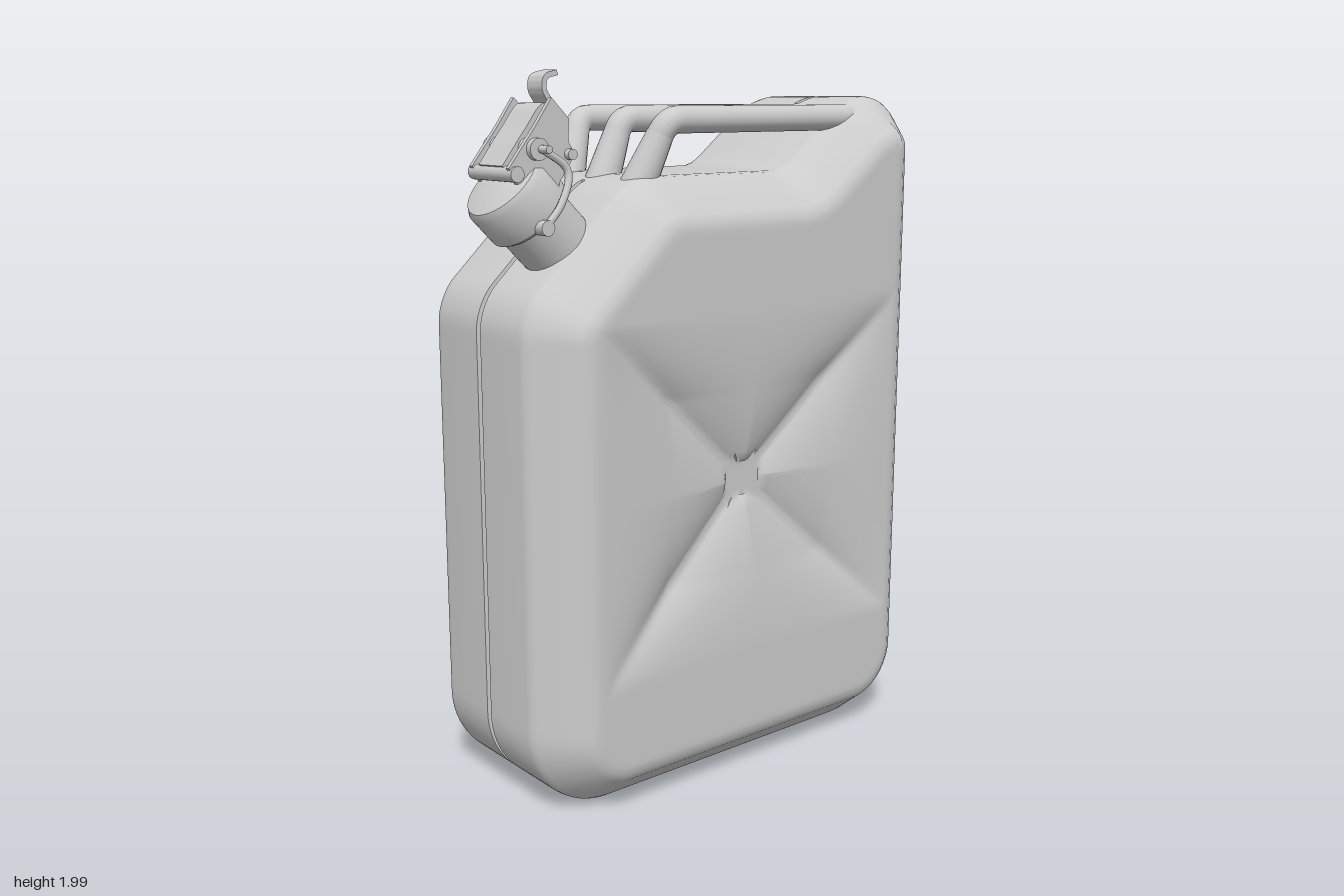
import * as THREE from 'three';
import { toCreasedNormals } from 'three/addons/utils/BufferGeometryUtils.js';

const steel = new THREE.MeshStandardMaterial({ color: 0xcccccc });
steel.name = 'grey steel';

const V = (x, y, z = 0) => new THREE.Vector3(x, y, z);

function add(parent, name, geometry) {
  const mesh = new THREE.Mesh(geometry, steel);
  mesh.name = name;
  parent.add(mesh);
  return mesh;
}

// Closed outline from corners [x, y, tangent length], counter-clockwise
function roundedOutline(corners, count) {
  const shape = new THREE.Shape();
  const P = corners.map(([x, y]) => new THREE.Vector2(x, y));
  const n = P.length;
  P.forEach((p, i) => {
    const l = corners[i][2];
    const toPrev = P[(i + n - 1) % n].clone().sub(p).normalize();
    const toNext = P[(i + 1) % n].clone().sub(p).normalize();
    const at = (dir, d) => p.clone().addScaledVector(dir, d);
    const a = at(toPrev, l), b = at(toNext, l);
    const c1 = at(toPrev, l * 0.45), c2 = at(toNext, l * 0.45);
    if (i === 0) shape.moveTo(a.x, a.y); else shape.lineTo(a.x, a.y);
    shape.bezierCurveTo(c1.x, c1.y, c2.x, c2.y, b.x, b.y);
  });
  shape.closePath();
  return shape.getSpacedPoints(count).slice(0, count);
}

// Pressed cross: four swelling panels that curve down into diagonal channels
function pressDepth(x, y) {
  const a = Math.abs(x - 0.04) / 0.535, b = Math.abs(y - 0.87) / 0.485;
  const m = Math.max(a, b);
  const t = Math.max(0, 1 - Math.max(m, 0.13));
  const fromChannel = m < 0.13 ? 0 : Math.max(0, Math.abs(a - b) * 0.36 - 0.012);
  const channel = Math.exp(-fromChannel / 0.085) * Math.min(1, t * 2.2);
  return 0.04 * t ** 1.5 + 0.04 * channel;
}

function bodyGeometry() {
  const N = 280, RINGS = 44, cx = 0.04, cy = 0.87;
  const outline = roundedOutline([
    [-0.657, 0.004, 0.25], [0.717, 0.004, 0.25], [0.717, 1.932, 0.15], [0.5, 1.932, 0.08],
    [0.24, 1.727, 0.04], [-0.31, 1.727, 0.07], [-0.657, 1.4, 0.07],
  ], N);
  const normals = outline.map((_, i) => {
    const d = outline[(i + 1) % N].clone().sub(outline[(i + N - 1) % N]).normalize();
    return new THREE.Vector2(d.y, -d.x);
  });
  // Edge profile as [inset, z]; negative insets stand for the seam groove
  const profile = [[0.14, 0.34], [0.118, 0.337], [0.095, 0.322], [0.012, 0.222], [0.003, 0.208],
    [0, 0.19], [0, 0.009], [-0.02, 0.007]];
  const inset = (i, d) => {
    const p = outline[i];
    const underHandle = p.y > 1.6 && p.x > -0.31 && p.x < 0.49;
    const depth = d < 0 ? (underHandle ? 0 : -d) : d;
    return p.clone().addScaledVector(normals[i], -depth);
  };
  const loops = [];
  for (let r = 0; r < RINGS; r++) {
    loops.push(outline.map((_, i) => {
      const e = inset(i, 0.14), s = r / RINGS;
      const x = cx + (e.x - cx) * s, y = cy + (e.y - cy) * s;
      return [x, y, 0.34 - pressDepth(x, y)];
    }));
  }
  for (const [d, z] of profile) {
    loops.push(outline.map((_, i) => {
      const p = inset(i, d);
      return [p.x, p.y, z];
    }));
  }
  // The back half mirrors the front half
  const all = loops.concat(loops.slice().reverse().map(l => l.map(([x, y, z]) => [x, y, -z])));
  const index = [];
  for (let j = 0; j < all.length - 1; j++) {
    for (let i = 0; i < N; i++) {
      const k = (i + 1) % N;
      const a = j * N + i, b = j * N + k, c = a + N, d = b + N;
      if (j < all.length - 2) index.push(a, c, d);
      if (j > 0) index.push(a, d, b);
    }
  }
  const g = new THREE.BufferGeometry();
  g.setAttribute('position', new THREE.Float32BufferAttribute(all.flat(2), 3));
  g.setIndex(index);
  return toCreasedNormals(g, 0.6);
}

// Flat plate cut in the xy plane, centred on z
function plate(points, thickness, z) {
  const shape = new THREE.Shape(points.map(([x, y]) => new THREE.Vector2(x, y)));
  const g = new THREE.ExtrudeGeometry(shape, { depth: thickness, bevelEnabled: false });
  return g.translate(0, 0, z - thickness / 2);
}

// Bent strip following a curve in the xy plane
function strip(points, thickness, width, z) {
  const curve = new THREE.CatmullRomCurve3(points.map(([x, y]) => V(x, y)));
  const left = [], right = [];
  for (let i = 0; i <= 24; i++) {
    const p = curve.getPoint(i / 24), t = curve.getTangent(i / 24);
    left.push([p.x - t.y * thickness / 2, p.y + t.x * thickness / 2]);
    right.unshift([p.x + t.y * thickness / 2, p.y - t.x * thickness / 2]);
  }
  return toCreasedNormals(plate(left.concat(right), width, z), 0.6);
}

export function createModel() {
  const model = new THREE.Group();
  model.name = 'fuelCan';
  add(model, 'body', bodyGeometry());

  // Three parallel carrying handles; the outer legs lean inward
  const handles = new THREE.Group();
  handles.name = 'handles';
  model.add(handles);
  for (const z of [-0.203, 0, 0.203]) {
    const path = new THREE.CurvePath();
    const a = V(-0.253, 1.69, z * 0.78), b = V(-0.195, 1.835, z * 0.94);
    const c = V(-0.145, 1.872, z), d = V(0.5, 1.872, z);
    path.add(new THREE.LineCurve3(a, b));
    path.add(new THREE.QuadraticBezierCurve3(b, V(-0.18, 1.872, z), c));
    path.add(new THREE.LineCurve3(c, d));
    add(handles, 'handleBar', new THREE.TubeGeometry(path, 70, 0.037, 16));
    // Leg widening smoothly into the deck
    const leg = add(handles, 'handleLeg', new THREE.CylinderGeometry(0.037, 0.05, a.distanceTo(b), 20, 1, true));
    leg.position.copy(a).lerp(b, 0.5);
    leg.quaternion.setFromUnitVectors(V(0, 1, 0), b.clone().sub(a).normalize());
  }

  // Neck and cap, tilted along the sloping shoulder
  const Z = 0.11;
  const spout = new THREE.Group();
  spout.name = 'spout';
  spout.position.set(-0.49, 1.565, Z);
  spout.rotation.z = Math.PI / 4;
  model.add(spout);
  const neck = [[0.1, -0.06], [0.1, 0.14]];
  add(spout, 'neck', new THREE.LatheGeometry(neck.map(p => new THREE.Vector2(...p)), 40));
  const cap = [[0, 0.1], [0.108, 0.1], [0.118, 0.11], [0.118, 0.2], [0.108, 0.218], [0.06, 0.23], [0, 0.232]];
  add(spout, 'cap', toCreasedNormals(
    new THREE.LatheGeometry(cap.map(p => new THREE.Vector2(...p)), 40), 0.6));

  // Locking lever: two side cheeks, a bridge and a curled thumb tab
  const lever = new THREE.Group();
  lever.name = 'lockingLever';
  model.add(lever);
  const cheek = [[-0.68, 1.76], [-0.655, 1.72], [-0.6, 1.745], [-0.585, 1.62], [-0.55, 1.62],
    [-0.53, 1.72], [-0.48, 1.79], [-0.5, 1.82], [-0.5, 1.88], [-0.55, 1.93], [-0.6, 1.86]];
  for (const side of [-1, 1]) {
    add(lever, 'leverCheek', plate(cheek, 0.014, Z + side * 0.085));
    const wire = new THREE.CatmullRomCurve3([
      V(-0.6, 1.61, Z + side * 0.125), V(-0.55, 1.67, Z + side * 0.128),
      V(-0.52, 1.75, Z + side * 0.115), V(-0.6, 1.81, Z + side * 0.11)]);
    add(lever, 'clampWire', new THREE.TubeGeometry(wire, 20, 0.01, 8));
  }
  add(lever, 'leverBridge',
    strip([[-0.67, 1.76], [-0.6, 1.85], [-0.545, 1.91], [-0.505, 1.88]], 0.014, 0.11, Z));
  add(lever, 'thumbTab',
    strip([[-0.49, 1.992], [-0.525, 1.98], [-0.53, 1.95], [-0.508, 1.91], [-0.51, 1.86]], 0.014, 0.066, Z));

  // Cross pins [x, y, radius, length]
  for (const [x, y, r, l] of [[-0.6, 1.805, 0.028, 0.22], [-0.66, 1.745, 0.02, 0.2],
    [-0.595, 1.612, 0.02, 0.27], [-0.5, 1.79, 0.014, 0.22], [-0.595, 1.805, 0.01, 0.29]]) {
    const pin = add(lever, 'pin', new THREE.CylinderGeometry(r, r, l, 20));
    pin.rotation.x = Math.PI / 2;
    pin.position.set(x, y, Z);
  }
  return model;
}
